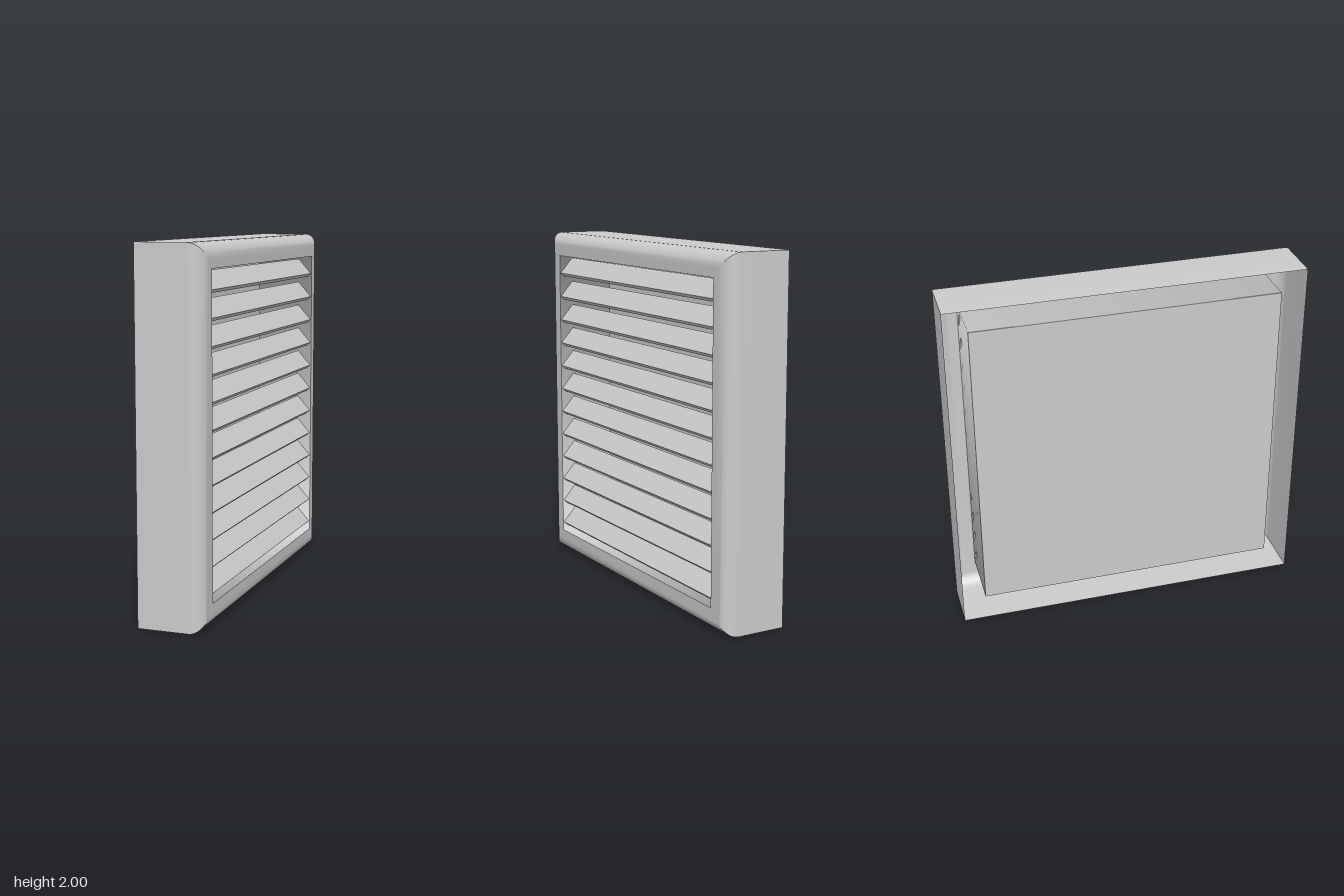
import * as THREE from 'three';
import { toCreasedNormals } from 'three/addons/utils/BufferGeometryUtils.js';

const OPENING = 0.866; // half size of the square opening
const FRONT = 0.184;   // half depth of the grille
const BLADES = 12;
const PITCH = 0.1432;

export function createModel() {
  const model = new THREE.Group();
  const material = new THREE.MeshStandardMaterial({ color: 0xcccccc, side: THREE.DoubleSide });

  const add = (name, geometry, parent = model) => {
    const mesh = new THREE.Mesh(geometry, material);
    mesh.name = name;
    parent.add(mesh);
    return mesh;
  };

  // Outer frame: a four-sided lathe makes a square shell with a rounded front edge and mitred corners
  const radius = 0.085;
  const profile = [[1, -FRONT]];
  for (let i = 0; i <= 10; i++) {
    const a = (i / 10) * Math.PI / 2;
    profile.push([1 - radius + radius * Math.cos(a), FRONT - radius + radius * Math.sin(a)]);
  }
  profile.push([OPENING, FRONT]);
  const points = profile.map(([r, h]) => new THREE.Vector2(r * Math.SQRT2, h));
  const shell = new THREE.LatheGeometry(points, 4, Math.PI / 4);
  shell.rotateZ(-Math.PI / 2);
  add('frame', toCreasedNormals(shell, 0.5)).position.y = 1;

  // Square duct running back from the opening
  const back = -0.16;
  const depth = FRONT - back;
  const duct = new THREE.CylinderGeometry(
    OPENING * Math.SQRT2, OPENING * Math.SQRT2, depth, 4, 1, true, Math.PI / 4);
  duct.rotateZ(-Math.PI / 2);
  add('duct', duct).position.set((FRONT + back) / 2, 1, 0);

  // Panel closing the back of the duct
  add('backPanel', new THREE.BoxGeometry(0.004, OPENING * 2, OPENING * 2)).position.set(back, 1, 0);

  // Sloping louvre blades
  const louvres = new THREE.Group();
  louvres.name = 'louvres';
  model.add(louvres);
  const bladeGeometry = new THREE.BoxGeometry(0.03, 0.12, OPENING * 2);
  for (let i = 0; i < BLADES; i++) {
    const blade = add('louvreBlade', bladeGeometry, louvres);
    blade.position.set(0.128, 0.22 + i * PITCH, 0);
    blade.rotation.z = 0.72;
  }

  return model;
}
